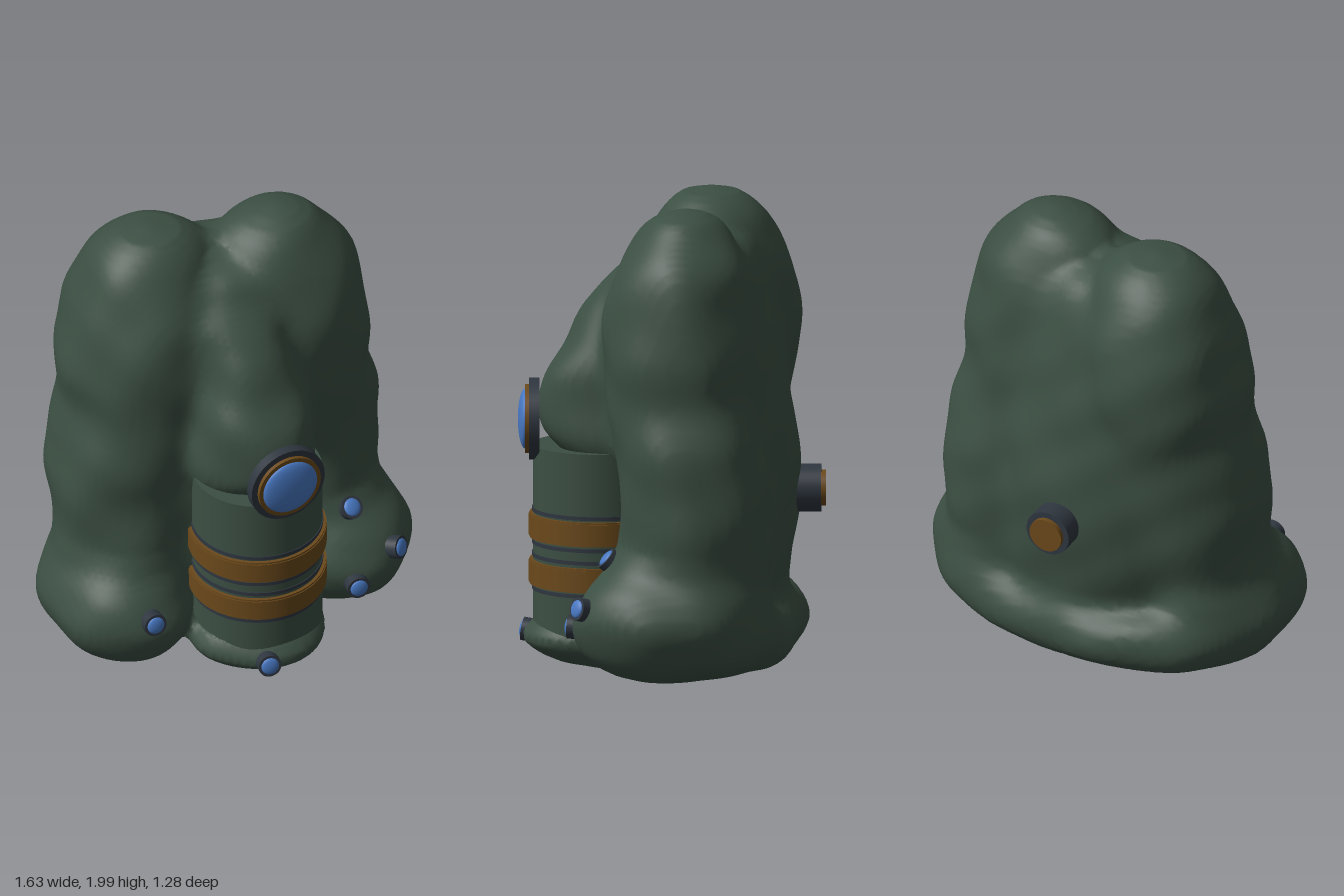
import * as THREE from 'three';

const material = (name, color) => Object.assign(new THREE.MeshStandardMaterial({ color }), { name });
const clamp = THREE.MathUtils.clamp;

// Distance to a lobe given by rows of [y, centreX, centreZ, radiusX, radiusZ], bottom to top
function lobe(rows, power = 2) {
  const curve = f => new THREE.CatmullRomCurve3(rows.map(f), false, 'catmullrom', 0.5).getPoints(80);
  const centres = curve(r => new THREE.Vector3(r[1], r[0], r[2]));
  const radii = curve(r => new THREE.Vector3(r[3], 0, r[4]));
  const low = rows[0][0], high = rows.at(-1)[0];
  return (x, y, z) => {
    const h = clamp(y, low, high);
    let i = 0;
    while (i < 79 && centres[i + 1].y < h) i++;
    const c = centres[i], d = centres[i + 1], r = radii[i], s = radii[i + 1];
    const t = clamp((h - c.y) / (d.y - c.y), 0, 1);
    const mix = (a, b) => a + (b - a) * t;
    const dx = x - mix(c.x, d.x), dz = z - mix(c.z, d.z);
    const rx = Math.max(mix(r.x, s.x), 0.001), rz = Math.max(mix(r.z, s.z), 0.001);
    const rho = (Math.abs(dx / rx) ** power + Math.abs(dz / rz) ** power) ** (1 / power);
    const side = rho < 0.05 ? -Math.min(rx, rz) : Math.hypot(dx, dz) * (1 - 1 / rho);
    return y === h ? side : Math.hypot(Math.max(side, 0), y - h);
  };
}

// Distance to a round roll along a path
function roll(points, radius) {
  const path = new THREE.CatmullRomCurve3(points.map(p => new THREE.Vector3(...p))).getPoints(50);
  return (x, y, z) => Math.min(...path.map(p => Math.hypot(x - p.x, y - p.y, z - p.z))) - radius;
}

// One smooth skin around all masses, softly blended where they meet
function skin(masses, blend, step, min, size) {
  const n = size.map(s => Math.ceil(s / step));
  const stride = [1, n[0], n[0] * n[1]];
  const field = new Float32Array(n[0] * n[1] * n[2]);
  const eachCell = fn => {
    for (let k = 0; k < n[2]; k++) for (let j = 0; j < n[1]; j++) for (let i = 0; i < n[0]; i++) {
      fn(i + j * stride[1] + k * stride[2], [i, j, k]);
    }
  };
  eachCell((p, cell) => {
    const [x, y, z] = cell.map((c, a) => min[a] + c * step);
    const lumps = 0.006 * Math.sin(15 * x + 4 * y) * Math.sin(17 * y + 3 * z) + 0.006 * Math.sin(19 * z - 6 * y + 5 * x);
    field[p] = lumps + masses.map(m => m(x, y, z)).reduce((a, b) => {
      const h = Math.max(blend - Math.abs(a - b), 0) / blend;
      return Math.min(a, b) - h * h * blend / 4;
    });
  });
  // A point in each cell that the skin passes through
  const positions = [], index = [], vertex = new Map();
  eachCell((p, cell) => {
    if (cell.some((c, a) => c >= n[a] - 1)) return;
    const sum = [0, 0, 0];
    let count = 0;
    for (let corner = 0; corner < 8; corner++) for (let a = 0; a < 3; a++) {
      if (corner >> a & 1) continue;
      const o = [corner & 1, corner >> 1 & 1, corner >> 2 & 1];
      const q = p + o[0] + o[1] * stride[1] + o[2] * stride[2];
      const f = field[q], g = field[q + stride[a]];
      if (f < 0 === g < 0) continue;
      o[a] = f / (f - g);
      o.forEach((v, b) => { sum[b] += v; });
      count++;
    }
    if (!count) return;
    vertex.set(p, positions.length / 3);
    positions.push(...sum.map((s, a) => min[a] + (cell[a] + s / count) * step));
  });
  // A square across each grid edge that the skin cuts
  eachCell((p, cell) => {
    if (cell.some((c, a) => c < 1 || c >= n[a] - 1)) return;
    for (let a = 0; a < 3; a++) {
      if (field[p] < 0 === field[p + stride[a]] < 0) continue;
      const u = stride[(a + 1) % 3], v = stride[(a + 2) % 3];
      const quad = [p, p - u, p - u - v, p - v].map(q => vertex.get(q));
      if (field[p] >= 0) quad.reverse();
      index.push(quad[0], quad[1], quad[2], quad[0], quad[2], quad[3]);
    }
  });
  const g = new THREE.BufferGeometry();
  g.setAttribute('position', new THREE.Float32BufferAttribute(positions, 3));
  g.setIndex(index);
  g.computeVertexNormals();
  return g;
}

export function createModel() {
  const model = new THREE.Group();
  model.name = 'lumpyCreature';
  const green = material('mossGreen', 0x3c4f43);
  const steel = material('darkSteel', 0x2f363f);
  const brass = material('brass', 0x6b491b);
  const blue = material('lensBlue', 0x4878c2);

  const add = (name, geometry, mat, parent = model) => {
    const mesh = new THREE.Mesh(geometry, mat);
    mesh.name = name;
    parent.add(mesh);
    return mesh;
  };

  // Body masses
  const torso = lobe([
    [0.015, -0.02, -0.2, 0, 0], [0.05, -0.02, -0.18, 0.24, 0.18], [0.14, -0.02, -0.12, 0.4, 0.3], [0.4, -0.02, -0.12, 0.49, 0.37],
    [0.85, -0.03, -0.15, 0.48, 0.39], [1.2, -0.03, -0.13, 0.44, 0.37], [1.5, -0.02, -0.1, 0.4, 0.34],
    [1.7, 0, -0.1, 0.3, 0.29], [1.83, 0, -0.1, 0.17, 0.19], [1.88, -0.01, -0.1, 0, 0],
  ]);
  const leftLobe = lobe([
    [0.15, 0.4, -0.05, 0.28, 0.25], [0.5, 0.42, -0.1, 0.3, 0.32], [0.8, 0.42, -0.11, 0.31, 0.32],
    [1.0, 0.39, -0.085, 0.32, 0.32], [1.2, 0.34, -0.06, 0.325, 0.32], [1.4, 0.325, -0.05, 0.335, 0.325],
    [1.6, 0.31, -0.04, 0.32, 0.31], [1.75, 0.285, -0.05, 0.305, 0.275], [1.88, 0.255, -0.06, 0.24, 0.195],
    [1.95, 0.27, -0.06, 0.165, 0.13], [1.98, 0.28, -0.06, 0.08, 0.07], [1.99, 0.28, -0.06, 0, 0],
  ]);
  const rightLobe = lobe([
    [0.15, -0.42, -0.05, 0.28, 0.25], [0.5, -0.42, -0.08, 0.295, 0.3], [0.8, -0.42, -0.12, 0.31, 0.32],
    [1.0, -0.38, -0.13, 0.33, 0.35], [1.2, -0.33, -0.15, 0.34, 0.36], [1.4, -0.31, -0.16, 0.36, 0.375],
    [1.6, -0.3, -0.165, 0.325, 0.355], [1.75, -0.28, -0.17, 0.3, 0.3], [1.88, -0.265, -0.17, 0.25, 0.225],
    [1.96, -0.27, -0.17, 0.165, 0.14], [1.99, -0.27, -0.17, 0.08, 0.07], [2.0, -0.27, -0.17, 0, 0],
  ]);
  const snout = lobe([
    [0.84, 0, 0.15, 0.2, 0.2], [0.95, 0, 0.2, 0.255, 0.27], [1.06, 0, 0.2, 0.265, 0.335], [1.25, 0, 0.2, 0.245, 0.33],
    [1.4, 0, 0.15, 0.22, 0.28], [1.56, -0.01, 0.1, 0.2, 0.245], [1.68, -0.02, 0.05, 0.17, 0.19],
    [1.8, -0.02, 0.02, 0, 0],
  ], 2.3);

  // Feet: one on each side, a small one in front, and a roll round the back
  const foot = (s, depth) => lobe([
    [0.035, 0.46, 0, 0, 0], [0.06, 0.47, 0.01, 0.17, 0.2], [0.14, 0.5, 0, 0.255, 0.35], [0.28, 0.5, 0, 0.31, 0.41],
    [0.4, 0.5, -0.02, 0.285, 0.385], [0.5, 0.47, -0.04, 0.25, 0.31], [0.6, 0.45, -0.06, 0.2, 0.23],
    [0.68, 0.44, -0.06, 0, 0],
  ].map(([y, x, z, rx, rz]) => [y, s * x, z, rx, rz * depth]));
  const frontFoot = lobe([
    [0.01, 0, 0.24, 0, 0], [0.045, -0.01, 0.27, 0.2, 0.2], [0.13, -0.01, 0.3, 0.29, 0.3],
    [0.2, -0.01, 0.3, 0.28, 0.28], [0.24, -0.02, 0.29, 0.22, 0.23], [0.255, -0.02, 0.29, 0, 0],
  ]);
  const backRoll = roll([
    [0.6, 0.25, -0.12], [0.52, 0.22, -0.28], [0.22, 0.2, -0.37], [-0.12, 0.215, -0.425], [-0.45, 0.22, -0.34], [-0.61, 0.25, -0.12],
  ], 0.145);
  add('body', skin([torso, leftLobe, rightLobe, snout, foot(1, 1), foot(-1, 0.93), frontFoot, backRoll],
    0.07, 0.025, [-0.95, -0.1, -0.75], [1.9, 2.2, 1.5]), green);

  // Banded canister below the snout
  const canister = new THREE.Group();
  canister.name = 'canister';
  canister.position.z = 0.3;
  model.add(canister);
  const band = (name, y0, y1, r, mat) => {
    const mesh = add(name, new THREE.CylinderGeometry(r, r, y1 - y0, 64), mat, canister);
    mesh.position.y = (y0 + y1) / 2;
  };
  band('canisterBody', 0.17, 0.955, 0.272, green);
  for (const y of [0.57, 0.375]) {
    band('brassBandEdge', y - 0.004, y + 0.099, 0.286, brass);
    band('brassBand', y + 0.004, y + 0.091, 0.29, brass);
  }
  for (const y of [0.684, 0.548, 0.495, 0.355]) band('steelBand', y - 0.008, y + 0.008, 0.276, steel);

  // Round fittings: stacked discs and domes facing a direction
  const fitting = (name, position, direction, parts) => {
    const group = new THREE.Group();
    group.name = name;
    group.position.set(...position);
    group.quaternion.setFromUnitVectors(new THREE.Vector3(0, 1, 0), new THREE.Vector3(...direction).normalize());
    for (const [part, r, from, to, mat, dome] of parts) {
      const g = dome ? new THREE.SphereGeometry(1, 40, 10, 0, Math.PI * 2, 0, Math.PI / 2).scale(r, to - from, r)
        : new THREE.CylinderGeometry(r, r, to - from, 40);
      add(part, g, mat, group).position.y = dome ? from : (from + to) / 2;
    }
    model.add(group);
  };
  fitting('mainEye', [0, 1.06, 0.55], [0, 0, 1], [
    ['eyeHousing', 0.17, -0.005, 0.038, steel],
    ['eyeRing', 0.143, 0.03, 0.055, brass], ['eyeLens', 0.125, 0.054, 0.085, blue, true],
  ]);
  fitting('backValve', [0, 0.77, -0.54], [0, 0, -1], [
    ['valveHousing', 0.1, -0.08, 0.085, steel], ['valveCap', 0.075, 0.08, 0.105, brass],
  ]);
  const smallEyes = [
    [[-0.515, 0.36, 0.375], [-0.05, 0.15, 1]],
    [[-0.095, 0.155, 0.6], [-0.2, 0.15, 1]],
    [[0.46, 0.545, 0.255], [0.1, 0.65, 0.75]],
    [[0.62, 0.365, 0.375], [0.55, 0.25, 0.8]],
    [[0.415, 0.255, 0.41], [-0.15, 0.05, 1]],
  ];
  smallEyes.forEach(([position, direction]) => fitting('smallEye', position, direction, [
    ['smallEyeRim', 0.049, -0.06, 0.015, steel], ['smallEyeLens', 0.038, 0.014, 0.028, blue, true],
  ]));
  return model;
}
